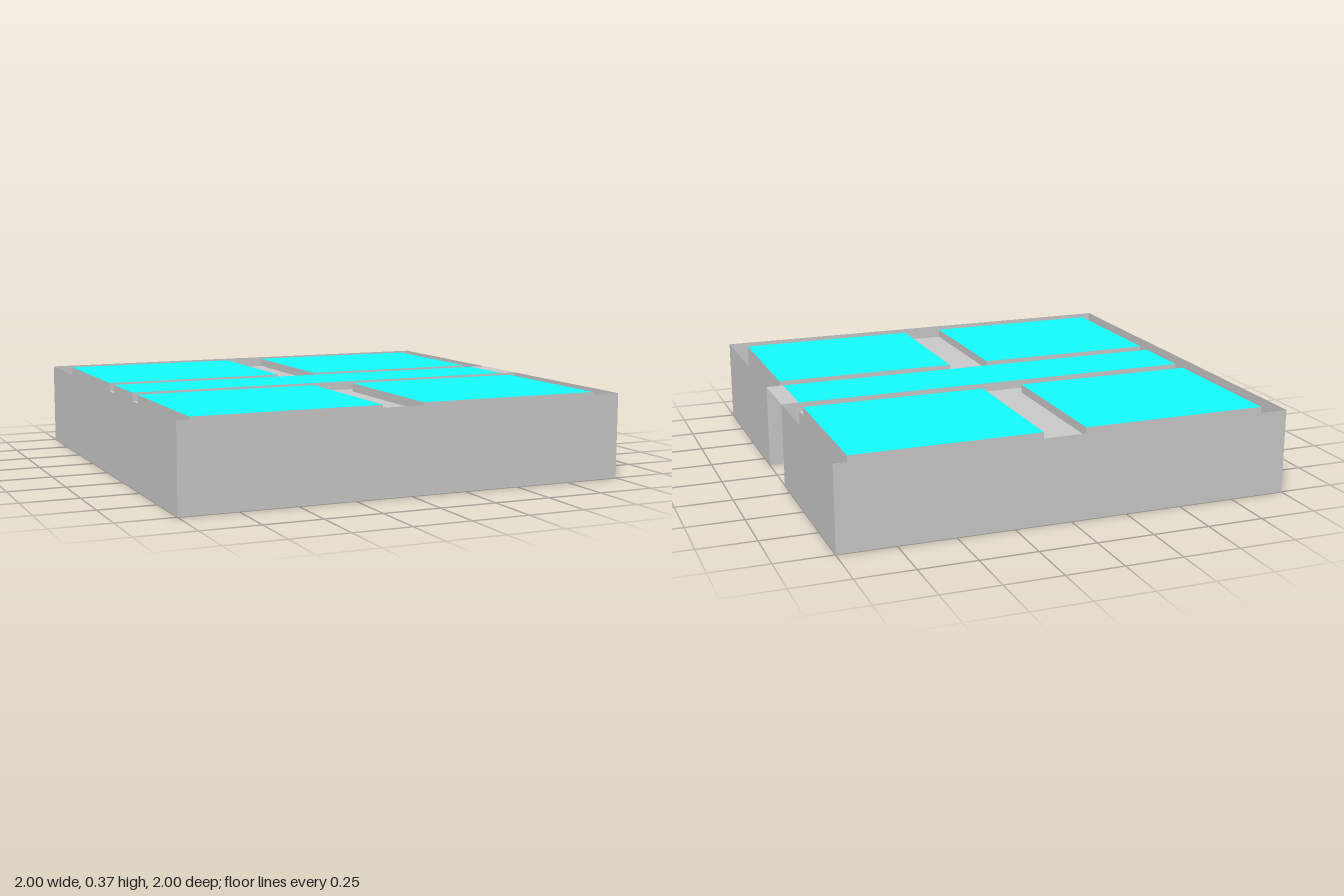
import * as THREE from 'three';

const grey = new THREE.MeshStandardMaterial({ color: 0xcccccc, side: THREE.DoubleSide });
const cyan = new THREE.MeshStandardMaterial({ color: 0x14ffff, side: THREE.DoubleSide });

const OUT = 1, IN = 0.923, H = 0.373;         // outer wall, inner wall, height
const DOOR = 0.148, LANE = 0.223, AISLE = 0.094; // half widths of the openings
const DECK = 0.335, FLOOR0 = 0.02, FLOOR1 = 0.036;

export function createModel() {
  const root = new THREE.Group();
  const add = (geometry, name, parent = root, material = grey) => {
    const mesh = new THREE.Mesh(geometry, material);
    mesh.name = name;
    parent.add(mesh);
    return mesh;
  };
  // Thin sheets: horizontal (facing up), across x (facing +-x), across z (facing +-z)
  const flat = (x0, x1, z0, z1, y, name, parent, material) =>
    add(new THREE.PlaneGeometry(x1 - x0, z1 - z0).rotateX(-Math.PI / 2)
      .translate((x0 + x1) / 2, y, (z0 + z1) / 2), name, parent, material);
  const acrossX = (x, z0, z1, y0, y1, dir, name, parent) =>
    add(new THREE.PlaneGeometry(z1 - z0, y1 - y0).rotateY(dir * Math.PI / 2)
      .translate(x, (y0 + y1) / 2, (z0 + z1) / 2), name, parent);
  const acrossZ = (z, x0, x1, y0, y1, dir, name, parent) =>
    add(new THREE.PlaneGeometry(x1 - x0, y1 - y0).rotateY(dir > 0 ? 0 : Math.PI)
      .translate((x0 + x1) / 2, (y0 + y1) / 2, z), name, parent);

  // Outer and inner wall skins, both open at the doorway on the +x side
  for (const [r, y0, y1, label] of [[OUT, 0, H, 'outerWall'], [IN, FLOOR1, DECK, 'innerWall']]) {
    const walls = new THREE.Group();
    walls.name = label;
    root.add(walls);
    acrossX(-r, -r, r, y0, y1, -1, label + 'Closed', walls);
    for (const s of [-1, 1]) {
      acrossZ(s * r, -r, r, y0, y1, s, label + 'Side', walls);
      acrossX(r, s > 0 ? DOOR : -r, s > 0 ? r : -DOOR, y0, y1, 1, label + 'BesideDoor', walls);
    }
  }

  // Doorway lining
  for (const s of [-1, 1]) acrossZ(s * DOOR, IN, OUT, 0, H, -s, 'doorJamb');
  flat(IN, OUT, -DOOR, DOOR, H, 'doorHead');

  // Floor slab
  add(new THREE.BoxGeometry(2 * IN, FLOOR1 - FLOOR0, 2 * IN)
    .translate(0, (FLOOR0 + FLOOR1) / 2, 0), 'floorSlab');

  // Raised roof panel: coloured top with a grey rim, hollow below
  const panel = (x0, x1, z0, z1, name, openEnd) => {
    const g = new THREE.Group();
    g.name = name;
    root.add(g);
    flat(x0, x1, z0, z1, H, 'panelTop', g, cyan);
    acrossZ(z0, x0, x1, DECK, H, -1, 'panelRim', g);
    acrossZ(z1, x0, x1, DECK, H, 1, 'panelRim', g);
    acrossX(x0, z0, z1, DECK, H, -1, 'panelRim', g);
    if (!openEnd) acrossX(x1, z0, z1, DECK, H, 1, 'panelRim', g);
  };
  panel(-IN, IN, -DOOR, DOOR, 'centrePanel', true);
  for (const sx of [-1, 1]) for (const sz of [-1, 1])
    panel(sx > 0 ? AISLE : -IN, sx > 0 ? IN : -AISLE,
      sz > 0 ? LANE : -IN, sz > 0 ? IN : -LANE, 'cornerPanel');

  // Sunken channels between the panels
  for (const s of [-1, 1]) {
    flat(-IN, IN, s > 0 ? DOOR : -LANE, s > 0 ? LANE : -DOOR, DECK, 'longChannel');
    flat(-AISLE, AISLE, s > 0 ? LANE : -IN, s > 0 ? IN : -LANE, DECK, 'crossChannel');
  }
  return root;
}
